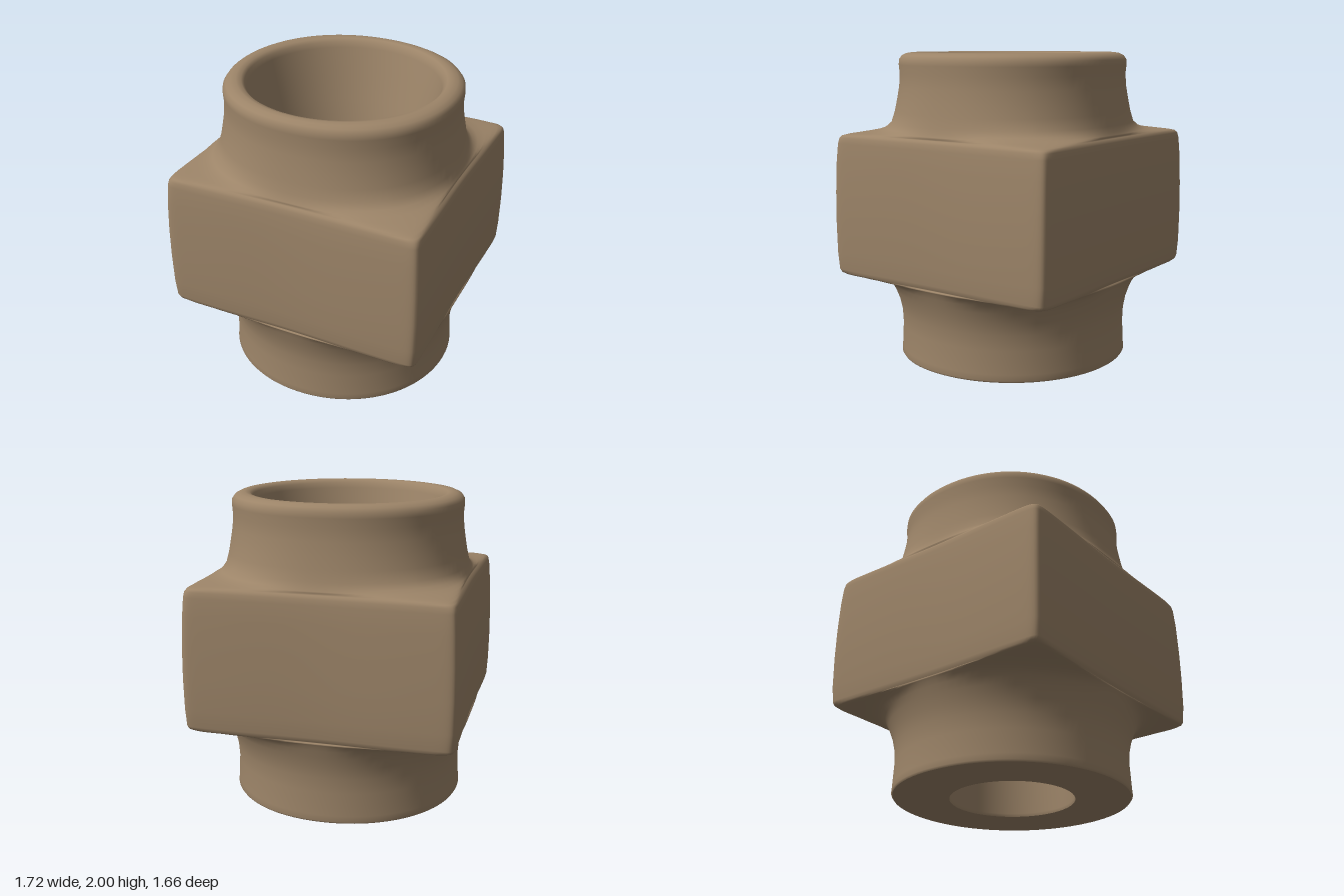
import * as THREE from 'three';

const SEGMENTS = 144;

// Superellipse ring: n = 2 is a circle, large n a crisp square.
function ringRadius(angle, a, b, n) {
  const c = Math.abs(Math.cos(angle)) / a, s = Math.abs(Math.sin(angle)) / b;
  const pinch = n > 6 ? 1 - 0.014 * Math.cos(2 * angle) ** 2 : 1; // slightly hollow faces
  return pinch / Math.pow(c ** n + s ** n, 1 / n);
}

// Skin a list of rings [y, half width x, half depth z, squareness].
function loft(rings) {
  const positions = [], index = [];
  for (const [y, a, b, n] of rings) {
    for (let j = 0; j < SEGMENTS; j++) {
      const t = (j / SEGMENTS) * Math.PI * 2;
      const angle = t + 0.2 * Math.sin(4 * t); // more points near the corners
      const r = ringRadius(angle, a, b, n);
      positions.push(r * Math.cos(angle), y, r * Math.sin(angle));
    }
  }
  for (let i = 0; i < rings.length - 1; i++) {
    for (let j = 0; j < SEGMENTS; j++) {
      const k = (j + 1) % SEGMENTS;
      const p = i * SEGMENTS + j, q = i * SEGMENTS + k;
      index.push(p, p + SEGMENTS, q, q, p + SEGMENTS, q + SEGMENTS);
    }
  }
  const geometry = new THREE.BufferGeometry();
  geometry.setAttribute('position', new THREE.Float32BufferAttribute(positions, 3));
  geometry.setIndex(index);
  geometry.computeVertexNormals();
  return geometry;
}

export function createModel() {
  const group = new THREE.Group();
  const stone = new THREE.MeshStandardMaterial({ color: 0x9c8468 });
  stone.name = 'brown stone';

  const foot = [
    [0, 0.755, 0.737, 2.05], [0.012, 0.763, 0.745, 2.05], [0.05, 0.76, 0.742, 2.05],
    [0.2, 0.752, 0.735, 2.05], [0.3, 0.76, 0.738, 2.05], [0.38, 0.775, 0.75, 2.08],
    [0.45, 0.798, 0.77, 2.12], [0.5, 0.815, 0.785, 2.2],
  ];
  const block = [
    [0.53, 0.828, 0.795, 2.45], [0.545, 0.836, 0.802, 3], [0.552, 0.84, 0.805, 4.5],
    [0.556, 0.841, 0.807, 8], [0.56, 0.842, 0.808, 20], [0.57, 0.847, 0.814, 34],
    [0.59, 0.852, 0.82, 40], [0.7, 0.858, 0.828, 40], [0.9, 0.861, 0.83, 40],
    [1.1, 0.858, 0.829, 40], [1.3, 0.849, 0.825, 40], [1.42, 0.84, 0.817, 40],
    [1.455, 0.834, 0.811, 36], [1.47, 0.825, 0.803, 28], [1.478, 0.815, 0.795, 14],
    [1.484, 0.81, 0.788, 7], [1.49, 0.806, 0.783, 4.5], [1.498, 0.801, 0.778, 3.2],
    [1.515, 0.794, 0.77, 2.6],
  ];
  const neck = [
    [1.55, 0.783, 0.757, 2.3], [1.62, 0.769, 0.743, 2.22], [1.7, 0.757, 0.731, 2.18],
    [1.78, 0.746, 0.72, 2.15], [1.86, 0.741, 0.714, 2.15], [1.92, 0.746, 0.72, 2.15],
    [1.955, 0.744, 0.718, 2.15], [1.98, 0.728, 0.704, 2.12], [1.994, 0.7, 0.68, 2.1],
    [2, 0.668, 0.654, 2.05], [1.994, 0.64, 0.63, 2], [1.975, 0.62, 0.612, 2],
  ];
  const bore = [
    [1.94, 0.608, 0.6, 2], [1.8, 0.575, 0.568, 2], [1.6, 0.525, 0.52, 2],
    [1.4, 0.48, 0.477, 2], [1.2, 0.445, 0.443, 2], [1, 0.422, 0.42, 2],
    [0.75, 0.405, 0.403, 2], [0.4, 0.397, 0.395, 2], [0.02, 0.393, 0.391, 2],
    [0, 0.398, 0.396, 2],
  ];

  // Square block, round collars and tapered bore as one continuous skin
  const body = new THREE.Mesh(loft([...foot, ...block, ...neck, ...bore]), stone);
  body.name = 'squareBodyWithRoundCollars';

  // Flat ring underneath
  const base = new THREE.Mesh(loft([bore[bore.length - 1], foot[0]]), stone);
  base.name = 'baseRing';

  group.add(body, base);
  return group;
}
